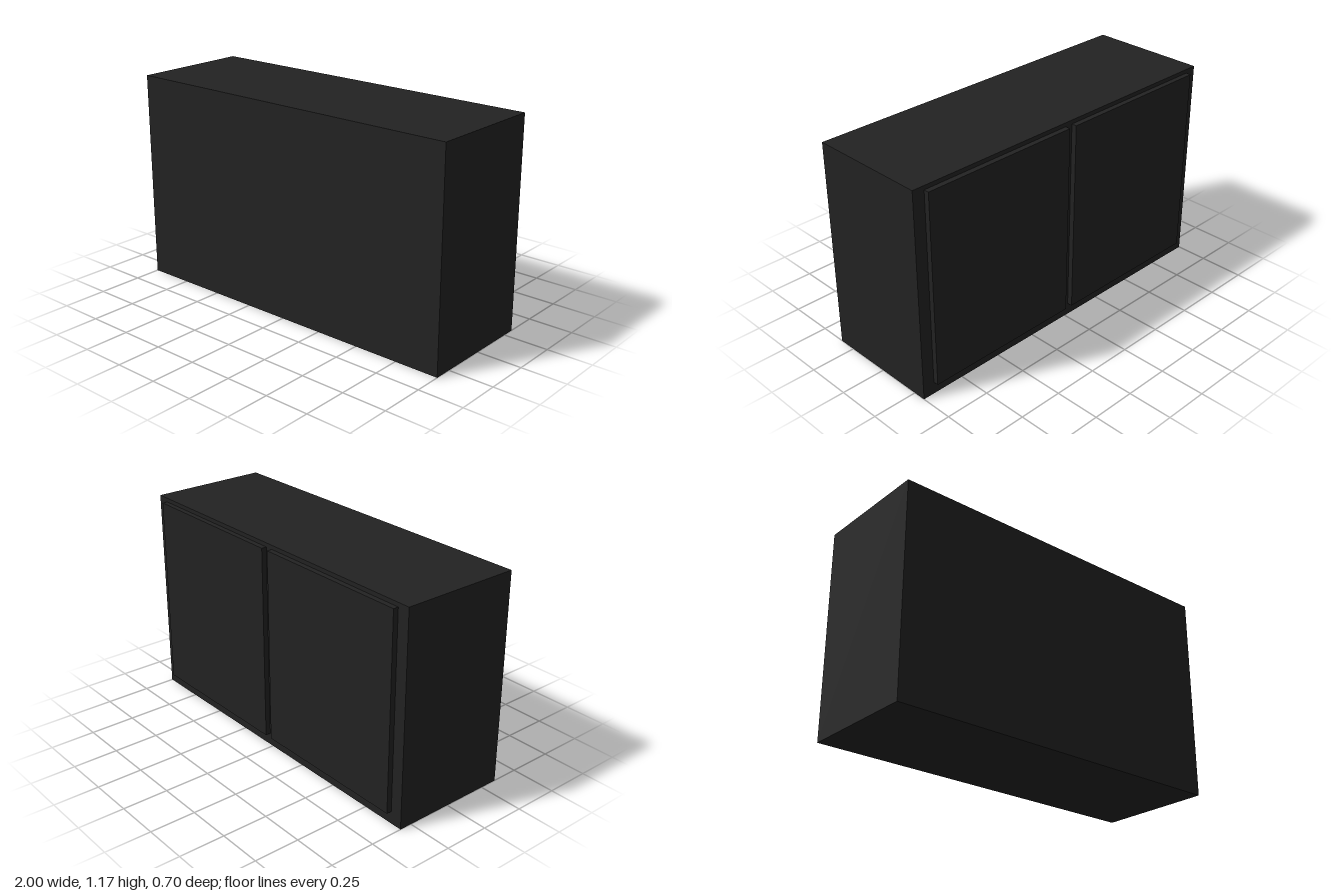
import * as THREE from 'three';

export function createModel() {
  const group = new THREE.Group();
  const charcoal = new THREE.MeshStandardMaterial({ color: 0x222222 });
  charcoal.name = 'charcoal';

  // Box given by its min and max corners
  const addBox = (name, [x0, y0, z0], [x1, y1, z1]) => {
    const mesh = new THREE.Mesh(new THREE.BoxGeometry(x1 - x0, y1 - y0, z1 - z0), charcoal);
    mesh.position.set((x0 + x1) / 2, (y0 + y1) / 2, (z0 + z1) / 2);
    mesh.name = name;
    group.add(mesh);
  };

  // Cabinet carcass
  addBox('cabinetBody', [-1, 0, -0.319], [1, 1.168, 0.348]);

  // Pair of door panels standing proud of the back side
  addBox('leftDoor', [0.022, 0.068, -0.348], [0.933, 1.146, -0.319]);
  addBox('rightDoor', [-0.933, 0.068, -0.348], [-0.022, 1.146, -0.319]);

  return group;
}
